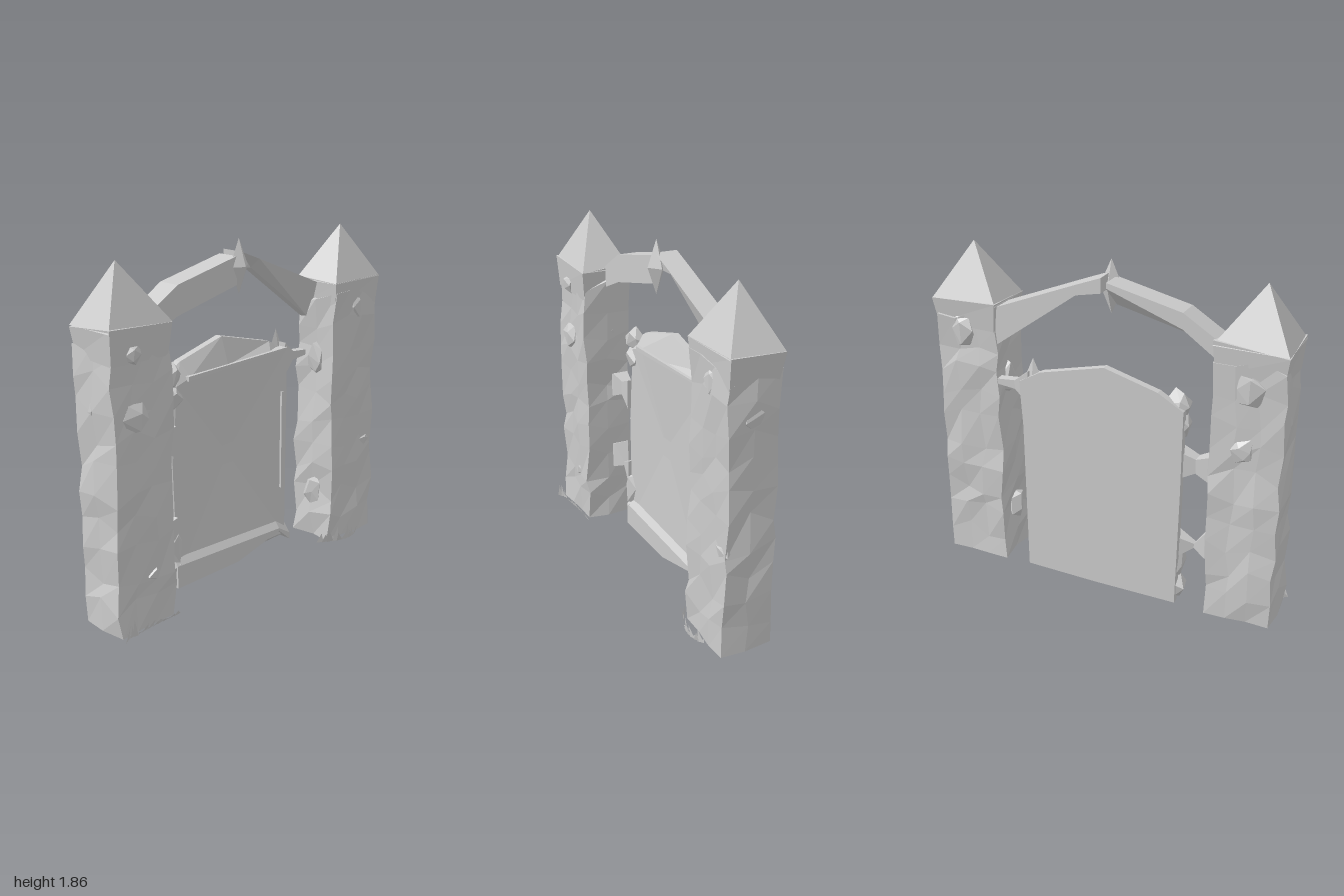
import * as THREE from 'three';

const stone = new THREE.MeshStandardMaterial({ color: 0xcccccc, flatShading: true });
const thin = new THREE.MeshStandardMaterial({ color: 0xcccccc, flatShading: true, side: THREE.DoubleSide });

// repeatable noise in -1..1, shared by coincident vertices
function noise(x, y, z, k) {
  const r = (v) => Math.round(v * 1000) / 1000 + 0;
  const s = Math.sin(r(x) * 127.1 + r(y) * 311.7 + r(z) * 74.7 + k * 53.3) * 43758.5453;
  return (s - Math.floor(s)) * 2 - 1;
}

function roughen(geo, ax, ay, az, seed) {
  const p = geo.attributes.position;
  for (let i = 0; i < p.count; i++) {
    const x = p.getX(i), y = p.getY(i), z = p.getZ(i);
    p.setXYZ(i, x + ax * noise(x, y, z, seed), y + ay * noise(x, y, z, seed + 1), z + az * noise(x, y, z, seed + 2));
  }
  return geo;
}

function add(parent, name, geo, x = 0, y = 0, z = 0, mat = stone) {
  geo.computeVertexNormals();
  const m = new THREE.Mesh(geo, mat);
  m.name = name;
  m.position.set(x, y, z);
  parent.add(m);
  return m;
}

// skin through rings of points, each counter-clockwise seen from the last ring's end
function loft(rings) {
  const pos = [], n = rings[0].length;
  const tri = (...pts) => pts.forEach((p) => pos.push(...p));
  for (let i = 0; i + 1 < rings.length; i++) {
    for (let j = 0; j < n; j++) {
      const k = (j + 1) % n;
      const a = rings[i][j], b = rings[i][k], c = rings[i + 1][k], d = rings[i + 1][j];
      tri(a, b, c);
      tri(a, c, d);
    }
  }
  const first = rings[0], last = rings[rings.length - 1];
  for (let j = 1; j + 1 < n; j++) {
    tri(first[0], first[j + 1], first[j]);
    tri(last[0], last[j], last[j + 1]);
  }
  const g = new THREE.BufferGeometry();
  g.setAttribute('position', new THREE.Float32BufferAttribute(pos, 3));
  return g;
}

// beam along x: [x, bottom, top, zBack, zFront]
const beam = (sections) => loft(sections.map(([x, b, t, zb, zf]) =>
  [[x, b, zf], [x, b, zb], [x, t, zb], [x, t, zf]]));

function rock(parent, name, x, y, z, sx, sy, sz, seed) {
  const g = roughen(new THREE.IcosahedronGeometry(1, 0), 0.25, 0.25, 0.25, seed);
  g.scale(sx, sy, sz);
  add(parent, name, g, x, y, z);
}

function pillar(name, x, apexX, seed) {
  const g = new THREE.Group();
  g.name = name;
  // rough stone shaft with a flat foot
  const shaft = new THREE.BoxGeometry(0.365, 1.46, 0.27, 3, 10, 2);
  roughen(shaft, 0.016, 0.045, 0.014, seed);
  shaft.translate(0, 0.73, 0);
  const p = shaft.attributes.position;
  for (let i = 0; i < p.count; i++) if (p.getY(i) < 0.06) p.setY(i, 0.005);
  add(g, 'shaft', shaft, x, 0, -0.02);
  // flared eave and pointed cap
  const square = (top, bottom, h) => {
    const c = new THREE.CylinderGeometry(top * Math.SQRT1_2, bottom * Math.SQRT1_2, h, 4, 1);
    return c.rotateY(Math.PI / 4);
  };
  add(g, 'eave', roughen(square(1, 0.9, 0.17).scale(0.385, 1, 0.29), 0.004, 0.018, 0.004, seed), x, 1.475, -0.02);
  const cap = square(0, 1, 0.3).scale(0.385, 1, 0.29);
  const c = cap.attributes.position;
  for (let i = 0; i < c.count; i++) if (c.getY(i) > 0.1) c.setX(i, apexX - x);
  add(g, 'cap', cap, x, 1.70, -0.02);
  return g;
}

// ragged curved strip of grass standing on the ground
function tuft(parent, name, x0, x1, z0, bow, count, height, seed) {
  const pos = [];
  for (let i = 0; i < count; i++) {
    const at = (t) => [x0 + (x1 - x0) * t, z0 + bow * Math.sin(t * Math.PI * 0.75)];
    const [ax, az] = at(i / count), [bx, bz] = at((i + 1.3) / count);
    const h = height * (0.7 + 0.3 * noise(i, seed, 0, 1));
    const lean = 0.03 * noise(i, seed, 0, 2);
    pos.push(ax, 0.005, az, bx, 0.01, bz, (ax + bx) / 2 + lean, h, (az + bz) / 2 + 0.01);
    pos.push(ax, 0.005, az, bx, 0.01, bz, bx, h * 0.45, bz);
  }
  const g = new THREE.BufferGeometry();
  g.setAttribute('position', new THREE.Float32BufferAttribute(pos, 3));
  add(parent, name, g, 0, 0, 0, thin);
}

export function createModel() {
  const model = new THREE.Group();
  model.name = 'stoneGateway';

  const right = pillar('rightPillar', -0.795, -0.82, 3);
  const left = pillar('leftPillar', 0.795, 0.8, 11);
  model.add(right, left);

  // loose stones jutting from the pillars: x, y, z, radii
  [
    [-0.83, 1.12, 0.10, 0.09, 0.08, 0.045], [-0.84, 1.43, 0.10, 0.06, 0.05, 0.04],
    [-0.75, 0.28, 0.10, 0.05, 0.04, 0.03], [-0.95, 1.13, -0.06, 0.04, 0.11, 0.07],
    [-0.63, 1.12, -0.05, 0.035, 0.08, 0.07], [-0.80, 1.35, -0.15, 0.08, 0.09, 0.03],
    [-0.78, 1.02, -0.15, 0.07, 0.07, 0.03],
  ].forEach((r, i) => rock(right, 'juttingStone', ...r, 20 + i));
  [
    [0.81, 1.40, 0.10, 0.06, 0.08, 0.045], [0.95, 1.25, -0.02, 0.04, 0.10, 0.07],
    [0.63, 1.10, -0.02, 0.04, 0.10, 0.06], [0.92, 0.57, 0.09, 0.06, 0.05, 0.03],
    [0.61, 0.30, -0.02, 0.04, 0.09, 0.06], [0.82, 1.38, -0.15, 0.07, 0.09, 0.03],
  ].forEach((r, i) => rock(left, 'juttingStone', ...r, 40 + i));

  // arch: one wedge-shaped half, one twisted half, pointed keystone
  const arch = new THREE.Group();
  arch.name = 'arch';
  model.add(arch);
  const wedge = [[-0.62, 1.45, 1.57, 0.02], [-0.44, 1.525, 1.68, 0.07], [-0.03, 1.62, 1.77, 0.12]];
  add(arch, 'rightArchHalf', loft(wedge.map(([x, b, t, lift]) =>
    [[x, b, -0.015], [x, b + lift, -0.14], [x, t, -0.14], [x, t, -0.015]])));
  const twist = [[0, 1.71, 1.79, -0.03], [0.14, 1.68, 1.735, -0.08], [0.62, 1.33, 1.54, -0.09]];
  add(arch, 'leftArchHalf', loft(twist.map(([x, b, t, z]) =>
    [[x, b, z], [x, b, -0.14], [x, t, -0.14], [x, t, -0.015]])));
  add(arch, 'keystone', new THREE.OctahedronGeometry(1).scale(0.065, 0.145, 0.05), -0.005, 1.715, -0.025);

  // gate leaf: outline at the back, bevelled to a slightly dished front panel
  const gate = new THREE.Group();
  gate.name = 'gate';
  model.add(gate);
  const outline = [[-0.45, 0.02], [0.03, 0.015], [0.45, 0.02], [0.455, 0.9], [0.47, 1.16],
    [0.34, 1.235], [-0.03, 1.33], [-0.33, 1.25], [-0.47, 1.17], [-0.465, 0.7]];
  const inner = [[-0.42, 0.06], [0.03, 0.06], [0.43, 0.06], [0.435, 0.9], [0.43, 1.18],
    [0.3, 1.185], [-0.03, 1.18], [-0.3, 1.17], [-0.4, 1.14], [-0.44, 0.7]];
  const at = (pts, z) => pts.map(([x, y]) => [x, y, z]);
  const hollow = inner.map(([x, y]) => [x * 0.1 - 0.02, 0.68 + (y - 0.68) * 0.1, -0.1]);
  add(gate, 'leaf', loft([at(outline, -0.17), at(outline, -0.13), at(inner, -0.08), hollow]));
  // tapering ledge along the bottom
  add(gate, 'bottomLedge', loft([[-0.44, 0.22, 0.02], [0.02, 0.2, 0.02], [0.36, 0.185, 0.1], [0.45, 0.13, 0.02]]
    .map(([x, t, b]) => [[x, b, -0.055], [x, b, -0.14], [x, t, -0.11], [x, t - 0.07, -0.055]])));
  add(gate, 'topLip', beam([[-0.33, 1.155, 1.18, -0.13, -0.065], [0.43, 1.185, 1.195, -0.13, -0.07]]));
  add(gate, 'sideStrip', new THREE.BoxGeometry(0.012, 0.58, 0.02), 0.392, 0.65, -0.08);
  // corner knobs and the raised corner point
  rock(gate, 'topKnob', -0.425, 1.19, -0.11, 0.075, 0.075, 0.055, 60);
  rock(gate, 'upperKnob', -0.43, 1.07, -0.11, 0.065, 0.085, 0.055, 61);
  rock(gate, 'lowerKnob', -0.43, 0.25, -0.11, 0.065, 0.11, 0.055, 62);
  rock(gate, 'bottomKnob', -0.43, 0.10, -0.11, 0.07, 0.085, 0.055, 63);
  add(gate, 'cornerPoint', new THREE.ConeGeometry(0.085, 0.19, 4), 0.4, 1.2, -0.135).scale.z = 0.4;

  // pinched hinges and the latch
  add(gate, 'upperHinge', beam([[-0.64, 0.79, 0.91, -0.14, -0.05], [-0.6, 0.79, 0.93, -0.14, -0.05],
    [-0.53, 0.82, 0.9, -0.13, -0.07], [-0.43, 0.77, 0.94, -0.15, -0.06]]));
  add(gate, 'lowerHinge', beam([[-0.64, 0.33, 0.47, -0.14, -0.04], [-0.6, 0.33, 0.48, -0.14, -0.05],
    [-0.53, 0.36, 0.385, -0.11, -0.08], [-0.43, 0.29, 0.43, -0.15, -0.06]]));
  add(gate, 'latch', beam([[0.42, 1.03, 1.22, -0.165, -0.08], [0.51, 1.1, 1.15, -0.15, -0.1],
    [0.62, 1.11, 1.14, -0.15, -0.1]]));

  // grass at the feet of the pillars
  tuft(model, 'leftGrass', 0.54, 0.83, 0.08, 0.09, 11, 0.12, 5);
  tuft(model, 'rightGrass', -0.99, -0.9, 0.17, -0.03, 5, 0.12, 8);
  tuft(model, 'lowGrass', -0.9, -0.61, 0.14, -0.01, 8, 0.05, 9);
  return model;
}
